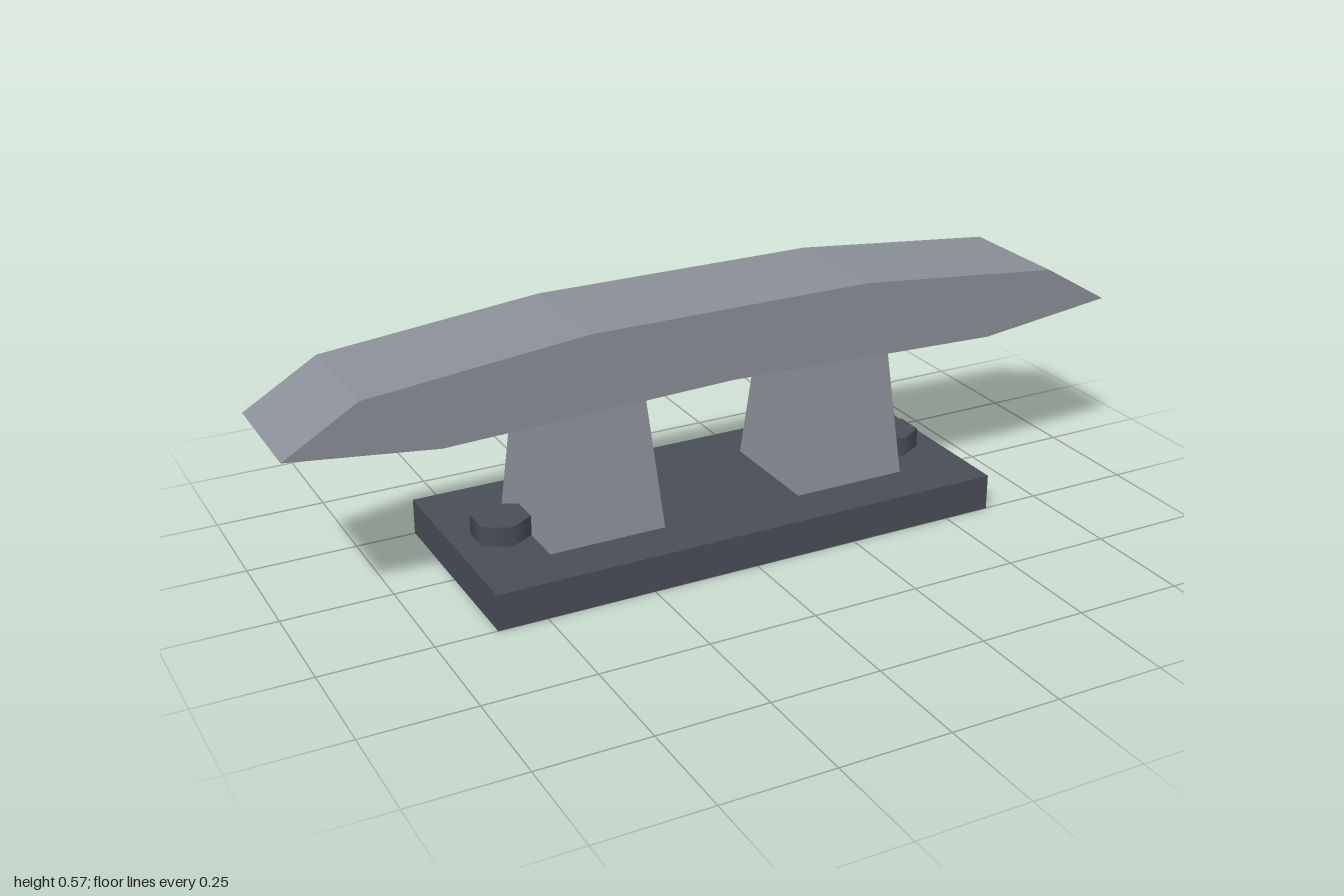
import * as THREE from 'three';

export function createModel() {
  const group = new THREE.Group();
  const steel = new THREE.MeshStandardMaterial({ name: 'lightSteel', color: 0x8c9199, flatShading: true });
  const iron = new THREE.MeshStandardMaterial({ name: 'darkIron', color: 0x4a4e58 });

  const add = (name, geometry, material, x, y, z) => {
    const mesh = new THREE.Mesh(geometry, material);
    mesh.name = name;
    mesh.position.set(x, y, z);
    group.add(mesh);
  };

  // Base plate
  add('basePlate', new THREE.BoxGeometry(1.224, 0.084, 0.502), iron, 0, 0.042, 0);

  // Tapered square posts and hexagonal bolts, mirrored left and right
  const postHeight = 0.336;
  const postGeometry = new THREE.CylinderGeometry(0.105 * Math.SQRT2, 0.137 * Math.SQRT2, postHeight, 4);
  postGeometry.rotateY(Math.PI / 4);
  const boltGeometry = new THREE.CylinderGeometry(0.067, 0.067, 0.046, 6);
  for (const [side, s] of [['left', 1], ['right', -1]]) {
    add(side + 'Post', postGeometry, steel, s * 0.306, 0.084 + postHeight / 2, 0);
    add(side + 'Bolt', boltGeometry, iron, s * 0.5, 0.107, 0);
  }

  // Horn bar: symmetric profile extruded through its depth
  const topHalf = [[1, 0.42], [0.835, 0.518], [0.335, 0.568]];
  const profile = [
    [0, 0.402], [0.67, 0.381], ...topHalf,
    ...topHalf.slice().reverse().map(([x, y]) => [-x, y]), [-0.67, 0.381],
  ];
  const shape = new THREE.Shape(profile.map(([x, y]) => new THREE.Vector2(x, y)));
  const depth = 0.278;
  add('hornBar', new THREE.ExtrudeGeometry(shape, { depth, bevelEnabled: false }), steel, 0, 0, -depth / 2);

  return group;
}
